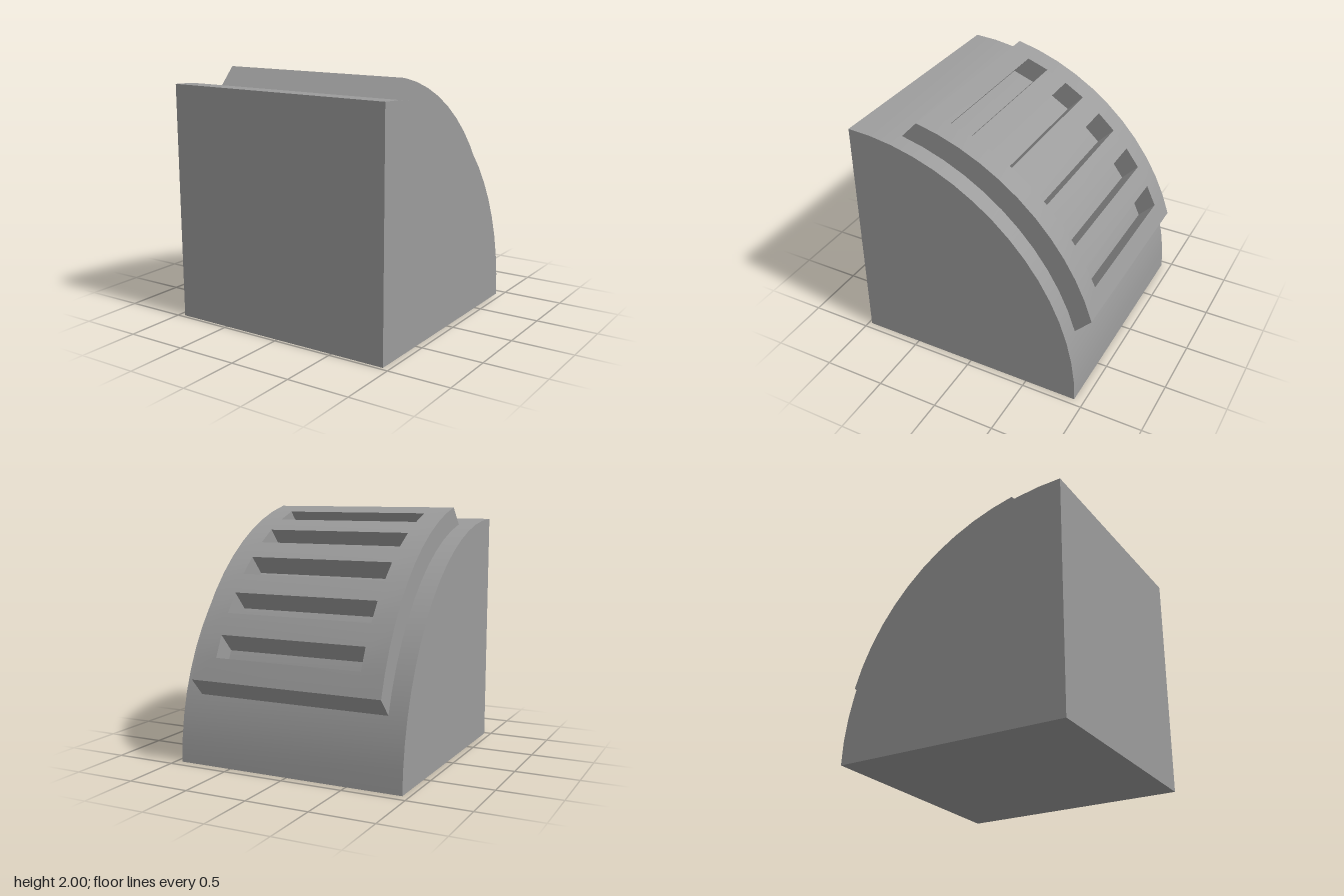
import * as THREE from 'three';
import { toCreasedNormals } from 'three/addons/utils/BufferGeometryUtils.js';

const RADIUS = 1.895, CENTRE_Z = 0.973, STEPS = 16, HALF_WIDTH = 0.947;
const LIFT = { y: 0.1414, z: -0.1326 }; // panel offset from the body's curve
const FIRST = 2, LAST = 13;             // arc steps covered by the panel
const COLUMNS = [-0.8, -0.614, 0.614, 0.8];

// Point on the quarter arc: step 0 at the top, step 16 at the ground
function arcPoint(step) {
  const a = (step / STEPS) * Math.PI / 2;
  return { y: RADIUS * Math.cos(a), z: CENTRE_Z - RADIUS * Math.sin(a) };
}

// Quarter-round solid, drawn in profile and extruded across x
function bodyGeometry() {
  const shape = new THREE.Shape();
  shape.moveTo(-CENTRE_Z, 0);
  for (let k = STEPS; k >= 0; k--) {
    const p = arcPoint(k);
    shape.lineTo(-p.z, Math.max(0, p.y));
  }
  const g = new THREE.ExtrudeGeometry(shape, { depth: 2 * HALF_WIDTH, bevelEnabled: false });
  g.rotateY(Math.PI / 2);
  g.translate(-HALF_WIDTH, 0, 0);
  return toCreasedNormals(g, 0.4);
}

// Raised panel made of grid cells; walls close every edge beside an empty cell
function panelGeometry() {
  const positions = [];
  const quad = (a, b, c, d) => [a, b, c, a, c, d].forEach(p => positions.push(...p));
  const point = ([col, step], raised) => {
    const p = arcPoint(step);
    return [COLUMNS[col], p.y + raised * LIFT.y, p.z + raised * LIFT.z];
  };
  const solid = (i, k) => {
    if (i < 0 || i > 2 || k < FIRST || k >= LAST) return false;
    return !(i === 1 && k % 2 === 1); // slots on alternate steps
  };
  for (let i = 0; i < 3; i++) {
    for (let k = FIRST; k < LAST; k++) {
      if (!solid(i, k)) continue;
      const corners = [[i, k], [i + 1, k], [i + 1, k + 1], [i, k + 1]];
      const neighbours = [[i, k - 1], [i + 1, k], [i, k + 1], [i - 1, k]];
      quad(...corners.map(c => point(c, 1)));
      neighbours.forEach((n, e) => {
        if (solid(...n)) return;
        const a = corners[e], b = corners[(e + 1) % 4];
        quad(point(b, 1), point(a, 1), point(a, 0), point(b, 0));
      });
    }
  }
  const g = new THREE.BufferGeometry();
  g.setAttribute('position', new THREE.Float32BufferAttribute(positions, 3));
  return toCreasedNormals(g, 0.4);
}

export function createModel() {
  const group = new THREE.Group();
  group.name = 'slottedQuarterRound';
  const material = new THREE.MeshStandardMaterial({ color: 0x9b9b9b });
  const add = (name, geometry) => {
    const mesh = new THREE.Mesh(geometry, material);
    mesh.name = name;
    group.add(mesh);
  };
  add('body', bodyGeometry());
  add('slottedPanel', panelGeometry());
  return group;
}
